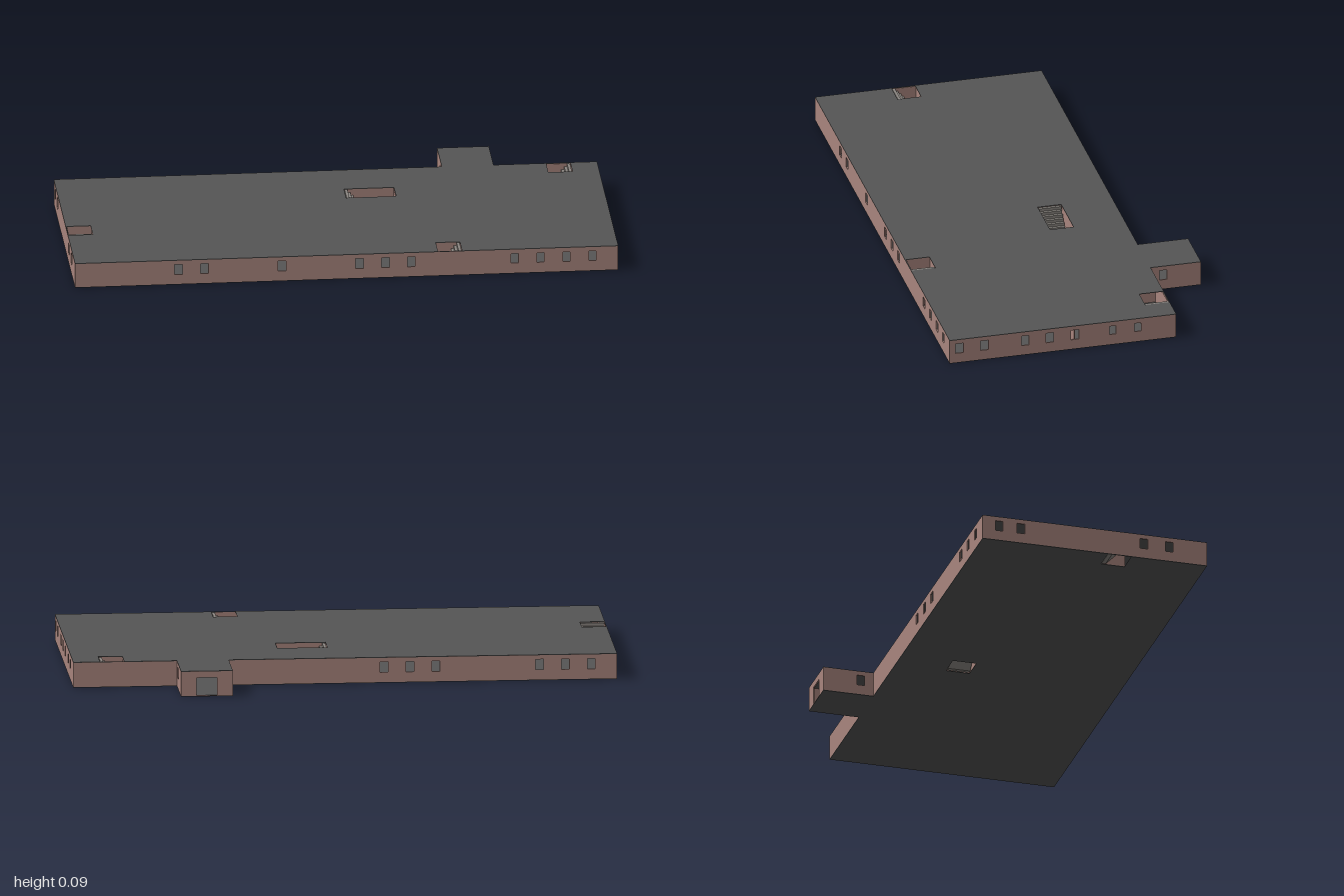
import * as THREE from 'three';

const C = 2 / 21;          // plan grid cell
const H = 0.095;           // storey height
const S = 0.002;           // slab thickness
const T = 0.005;           // wall thickness
const BACK = -3.5 * C, FRONT = 5.5 * C, REAR = -5.5 * C;
const AX0 = 4.5 * C, AX1 = 6.5 * C; // annex sides

const wallMat = new THREE.MeshStandardMaterial({ color: 0xa8857d });
const slabMat = new THREE.MeshStandardMaterial({ color: 0x555555 });
const stairMat = new THREE.MeshStandardMaterial({ color: 0x8a8580 });

function rectPath(x0, y0, x1, y1, Type = THREE.Path) {
  const p = new Type();
  p.moveTo(x0, y0).lineTo(x1, y0).lineTo(x1, y1).lineTo(x0, y1).closePath();
  return p;
}

function extrude(shape, depth) {
  return new THREE.ExtrudeGeometry(shape, { depth, bevelEnabled: false });
}

// A wall running from a to b along x or z; windows are given by their centres
function wall(name, axis, a, b, at, windows = [], { w = 0.029, y0 = 0.039, y1 = 0.078 } = {}) {
  const shape = rectPath(a, S, b, H - S, THREE.Shape);
  for (const c of windows) shape.holes.push(rectPath(c - w / 2, y0, c + w / 2, y1));
  const mesh = new THREE.Mesh(extrude(shape, T), wallMat);
  mesh.name = name;
  if (axis === 'z') {
    mesh.rotation.y = -Math.PI / 2;
    mesh.position.x = at;    // thickness goes towards -x
  } else {
    mesh.position.z = at;    // thickness goes towards +z
  }
  return mesh;
}

// Horizontal slab with the building outline and rectangular openings
function slab(name, y, openings) {
  const s = new THREE.Shape();
  [[-1, BACK], [AX0, BACK], [AX0, REAR], [AX1, REAR], [AX1, BACK], [1, BACK], [1, FRONT], [-1, FRONT]]
    .forEach(([x, z], i) => (i ? s.lineTo(x, -z) : s.moveTo(x, -z)));
  for (const [x0, z0, x1, z1] of openings) s.holes.push(rectPath(x0, -z1, x1, -z0));
  const mesh = new THREE.Mesh(extrude(s, S), slabMat);
  mesh.name = name;
  mesh.rotation.x = -Math.PI / 2;
  mesh.position.y = y;
  return mesh;
}

// One flight filling a grid cell, rising along local +x
function stairs(x, z, turn) {
  const n = 8, h = H - 2 * S, half = C / 2 - T, run = 2 * half;
  const s = new THREE.Shape();
  s.moveTo(-half, 0);
  for (let i = 0; i < n; i++) {
    s.lineTo(-half + (i * run) / n, ((i + 1) * h) / n);
    s.lineTo(-half + ((i + 1) * run) / n, ((i + 1) * h) / n);
  }
  s.lineTo(half, h - 0.02).lineTo(-half + 0.015, 0);
  const geo = extrude(s, run).translate(0, 0, -half);
  const mesh = new THREE.Mesh(geo, stairMat);
  mesh.name = 'stairs';
  mesh.position.set(x, S, z);
  mesh.rotation.y = turn;
  return mesh;
}

export function createModel() {
  const g = new THREE.Group();
  g.name = 'buildingFloor';

  // Stair cells: x, z, turn, length of roof opening in cells, open below
  const flights = [
    [C, -C, Math.PI, 2, true],
    [-10 * C, 2 * C, -Math.PI / 2, 1, true],
    [9 * C, -3 * C, 0, 1, false],
    [4 * C, 5 * C, 0, 1, false],
  ];
  const e = 0.003;
  const cell = ([x, z, , len]) =>
    [x - C / 2 + e, z - C / 2 + e, x + (len - 0.5) * C - e, z + C / 2 - e];
  g.add(slab('roof', H - S, flights.map(cell)));
  g.add(slab('floor', 0, flights.filter((f) => f[4]).map((f) => cell([f[0], f[1], 0, 1]))));
  for (const [x, z, turn] of flights) g.add(stairs(x, z, turn));

  // Outer walls with windows
  const cells = (...k) => k.map((i) => i * C);
  g.add(
    wall('frontWallLeftHalf', 'x', 5.5 * C, 1, FRONT - T, cells(6.5, 7.5, 8.5, 9.5), { w: 0.026, y0: 0.04, y1: 0.077 }),
    wall('frontWallRightHalf', 'x', -1, 5.5 * C, FRONT - T, cells(-6.5, -5.5, -2.5, 0.5, 1.5, 2.5)),
    wall('backWallRight', 'x', -1, AX0, BACK, cells(-9.5, -8.5, -7.5, -3.5, -2.5, -1.5)),
    wall('backWallLeft', 'x', AX1, 1, BACK),
    wall('leftWallFront', 'z', 0, FRONT - T, 1, [0.05, 0.145, 0.238, 0.392, 0.487]),
    wall('leftWallBack', 'z', BACK + T, 0, 1, [-0.188, -0.093], { w: 0.025, y0: 0.042, y1: 0.076 }),
    wall('rightWall', 'z', BACK + T, FRONT - T, -1 + T, [-0.27, -0.187, 0.283, 0.38]),
  );

  // Entrance annex with a doorway and side windows
  g.add(
    wall('annexLeftWall', 'z', REAR + T, BACK + T, AX1, [-4 * C]),
    wall('annexRightWall', 'z', REAR + T, BACK + T, AX0 + T, [-4 * C]),
    wall('annexDoorWall', 'x', AX0, AX1, REAR, [5.5 * C], { w: 0.075, y0: 0.004, y1: 0.07 }),
  );

  // Inner partitions and stairwell walls
  g.add(
    wall('corridorWall', 'x', -1 + T, 3.5 * C, 0.5 * C),
    wall('corridorWall', 'x', 5.5 * C, 1 - T, 0.5 * C),
    wall('frontRoomWall', 'x', 3.5 * C, 5.5 * C, 4.5 * C - T),
    wall('hallWall', 'x', 3.5 * C, 5.5 * C, -1.5 * C),
    wall('centralStairWall', 'x', 0.5 * C, 2.5 * C, -1.5 * C - T),
    wall('centralStairWall', 'x', 0.5 * C, 2.5 * C, -0.5 * C),
    wall('backStairWall', 'x', 8.5 * C, 9.5 * C, -2.5 * C),
    wall('sideStairWall', 'x', -1 + T, -9.5 * C, 1.5 * C - T),
  );
  for (const k of [-7.5, -4.5, -0.5, 3.5, 5.5]) g.add(wall('frontPartition', 'z', 0.5 * C + T, FRONT - T, k * C));
  for (const k of [-6.5, -4.5, 0.5, 2.5, 7.5]) g.add(wall('backPartition', 'z', BACK + T, 0.5 * C, k * C));
  g.add(wall('sideStairWall', 'z', 1.5 * C, 2.5 * C, -9.5 * C + T));
  return g;
}
